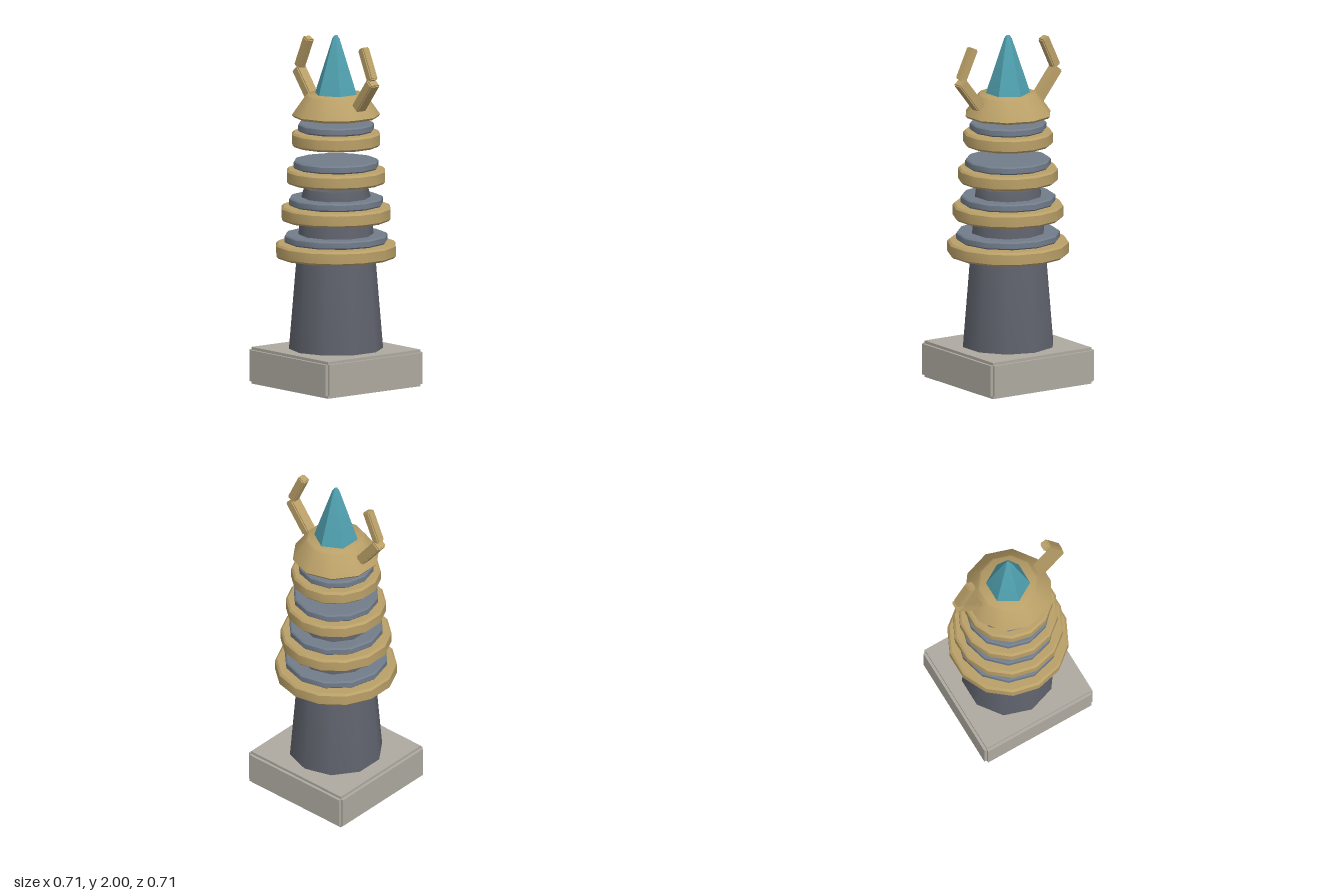
import * as THREE from 'three';
import { toCreasedNormals } from 'three/addons/utils/BufferGeometryUtils.js';

const mat = (name, color) => {
  const m = new THREE.MeshStandardMaterial({ color });
  m.name = name;
  return m;
};

export function createModel() {
  const model = new THREE.Group();
  model.name = 'crystalTower';

  const stone = mat('pale stone', 0xaeaaa0);
  const slate = mat('dark slate', 0x5f626c);
  const steel = mat('blue steel', 0x727d8b);
  const gold = mat('antique gold', 0xbaa068);
  const teal = mat('teal crystal', 0x4f9fae);

  // Faceted solid of revolution, profile given from bottom to top
  function turned(name, profile, sides, material, crease = 0.7) {
    const pts = profile.map(([r, y]) => new THREE.Vector2(r, y));
    const geo = toCreasedNormals(new THREE.LatheGeometry(pts, sides), crease);
    const mesh = new THREE.Mesh(geo, material);
    mesh.name = name;
    model.add(mesh);
    return mesh;
  }

  // Disc with chamfered rims
  function disc(name, r, y0, y1, b, sides, material) {
    turned(name, [[0, y0], [r - b, y0], [r, y0 + b], [r, y1 - b], [r - b, y1], [0, y1]], sides, material);
  }

  // Block with stepped edges: three crossing boxes, each inset on two axes
  function steppedBlock(name, w, h, d, b, material) {
    const group = new THREE.Group();
    group.name = name;
    const i = 2 * b;
    for (const size of [[w, h - i, d - i], [w - i, h, d - i], [w - i, h - i, d]]) {
      const mesh = new THREE.Mesh(new THREE.BoxGeometry(...size), material);
      mesh.name = name + 'Core';
      group.add(mesh);
    }
    return group;
  }

  // Square plinth
  const base = steppedBlock('base', 0.71, 0.21, 0.71, 0.016, stone);
  base.position.y = 0.105;
  model.add(base);

  // Tapered shaft
  turned('shaft', [[0, 0.19], [0.268, 0.19], [0.194, 1.085], [0.182, 1.13], [0, 1.13]], 10, slate);

  // Stacked gold rings, each with a steel disc above it
  for (let i = 0; i < 4; i++) {
    const y = 0.735 + i * 0.2117;
    disc('goldRing', 0.345 - i * 0.0305, y, y + 0.08, 0.012, 14, gold);
    disc('steelDisc', 0.295 - i * 0.026, y + 0.085, y + 0.13, 0.008, 12, steel);
  }

  // Flared cap
  turned('cap', [[0, 1.535], [0.24, 1.535], [0.25, 1.548], [0.175, 1.655], [0.162, 1.667], [0, 1.667]], 10, gold, 0.8);

  // Six-sided crystal spire
  turned('crystal', [[0, 1.66], [0.127, 1.66], [0.115, 1.7], [0.022, 1.982], [0.01, 2], [0, 2]], 6, teal, 0.5);

  // Two-part prongs on both sides
  function prongSegment(name, side, [x0, y0], [x1, y1], width, depth) {
    const seg = steppedBlock(name, width, Math.hypot(x1 - x0, y1 - y0), depth, 0.007, gold);
    seg.position.set((side * (x0 + x1)) / 2, (y0 + y1) / 2, 0);
    seg.rotation.z = -side * Math.atan2(x1 - x0, y1 - y0);
    model.add(seg);
  }
  for (const [label, side] of [['left', 1], ['right', -1]]) {
    prongSegment(label + 'LowerProng', side, [0.2, 1.607], [0.331, 1.772], 0.058, 0.068);
    prongSegment(label + 'UpperProng', side, [0.324, 1.782], [0.242, 1.957], 0.05, 0.052);
  }

  return model;
}
